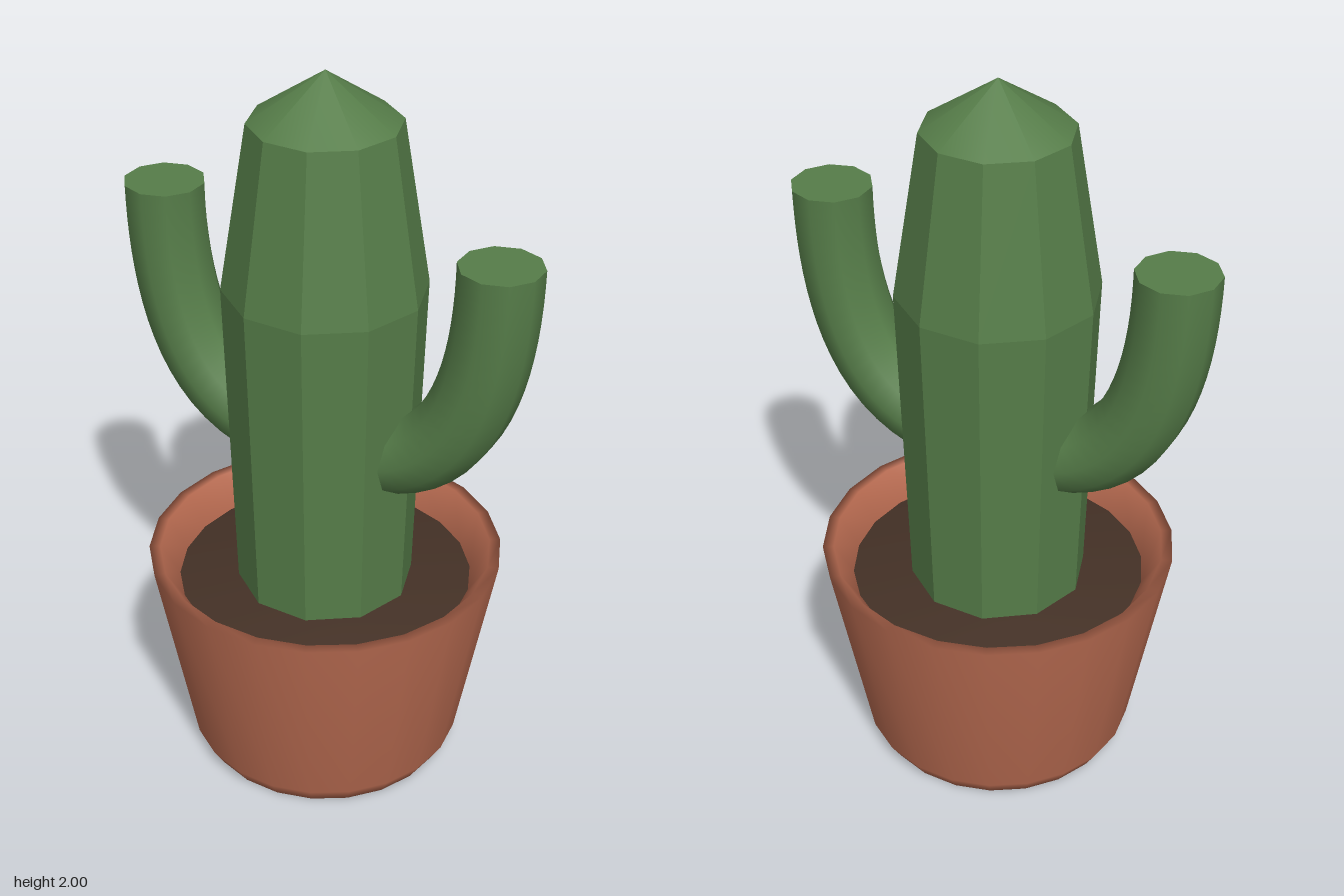
import * as THREE from 'three';

const green = new THREE.MeshStandardMaterial({ name: 'cactusGreen', color: 0x567d49 });
const clay = new THREE.MeshStandardMaterial({ name: 'terracotta', color: 0xb5694f });
const earth = new THREE.MeshStandardMaterial({ name: 'soilBrown', color: 0x443126 });

const POT_SIDES = 22;
const TRUNK_SIDES = 10;

function part(name, geometry, material) {
  const mesh = new THREE.Mesh(geometry, material);
  mesh.name = name;
  return mesh;
}

// Turned shape with a corner on the x axis
function turned(points, sides) {
  return new THREE.LatheGeometry(points.map(([r, y]) => new THREE.Vector2(r, y)), sides, Math.PI / 2);
}

// Open ten-sided frustum with hard edges
function frustum(rTop, rBottom, yBottom, yTop) {
  const g = new THREE.CylinderGeometry(rTop, rBottom, yTop - yBottom, TRUNK_SIDES, 1, true, Math.PI / 2)
    .translate(0, (yBottom + yTop) / 2, 0)
    .toNonIndexed();
  g.computeVertexNormals();
  return g;
}

// Curved arm with a flat end; side is +1 (left) or -1 (right)
function createArm(name, side) {
  const arm = new THREE.Group();
  arm.name = name;
  const curve = new THREE.QuadraticBezierCurve3(
    new THREE.Vector3(side * 0.12, 0.97, 0),
    new THREE.Vector3(side * 0.487, 1.0, 0),
    new THREE.Vector3(side * 0.487, 1.605, 0)
  );
  arm.add(part('armStem', new THREE.TubeGeometry(curve, 18, 0.108, 10, false), green));
  const end = new THREE.CircleGeometry(0.108, 10, Math.PI / 2)
    .rotateX(-Math.PI / 2)
    .translate(side * 0.487, 1.605, 0);
  arm.add(part('armEnd', end, green));
  return arm;
}

export function createModel() {
  const model = new THREE.Group();
  model.name = 'pottedCactus';

  // Pot: closed base, chamfered foot, flared wall and sloping inner rim
  model.add(part('pot', turned([
    [0, 0], [0.35, 0], [0.38, 0.05], [0.485, 0.625], [0.455, 0.625], [0.404, 0.54], [0.395, 0.45],
  ], POT_SIDES), clay));

  // Soil
  model.add(part('soil', turned([[0.404, 0.46], [0.404, 0.535], [0, 0.54]], POT_SIDES), earth));

  // Trunk: two faceted sections and a pointed cap
  const trunk = new THREE.Group();
  trunk.name = 'trunk';
  trunk.add(part('lowerTrunk', frustum(0.267, 0.24, 0.5, 1.425), green));
  trunk.add(part('upperTrunk', frustum(0.195, 0.267, 1.425, 1.87), green));
  trunk.add(part('trunkCap', new THREE.ConeGeometry(0.195, 0.13, TRUNK_SIDES, 1, true, Math.PI / 2)
    .translate(0, 1.935, 0), green));
  model.add(trunk);

  // Arms
  model.add(createArm('leftArm', 1), createArm('rightArm', -1));

  return model;
}
